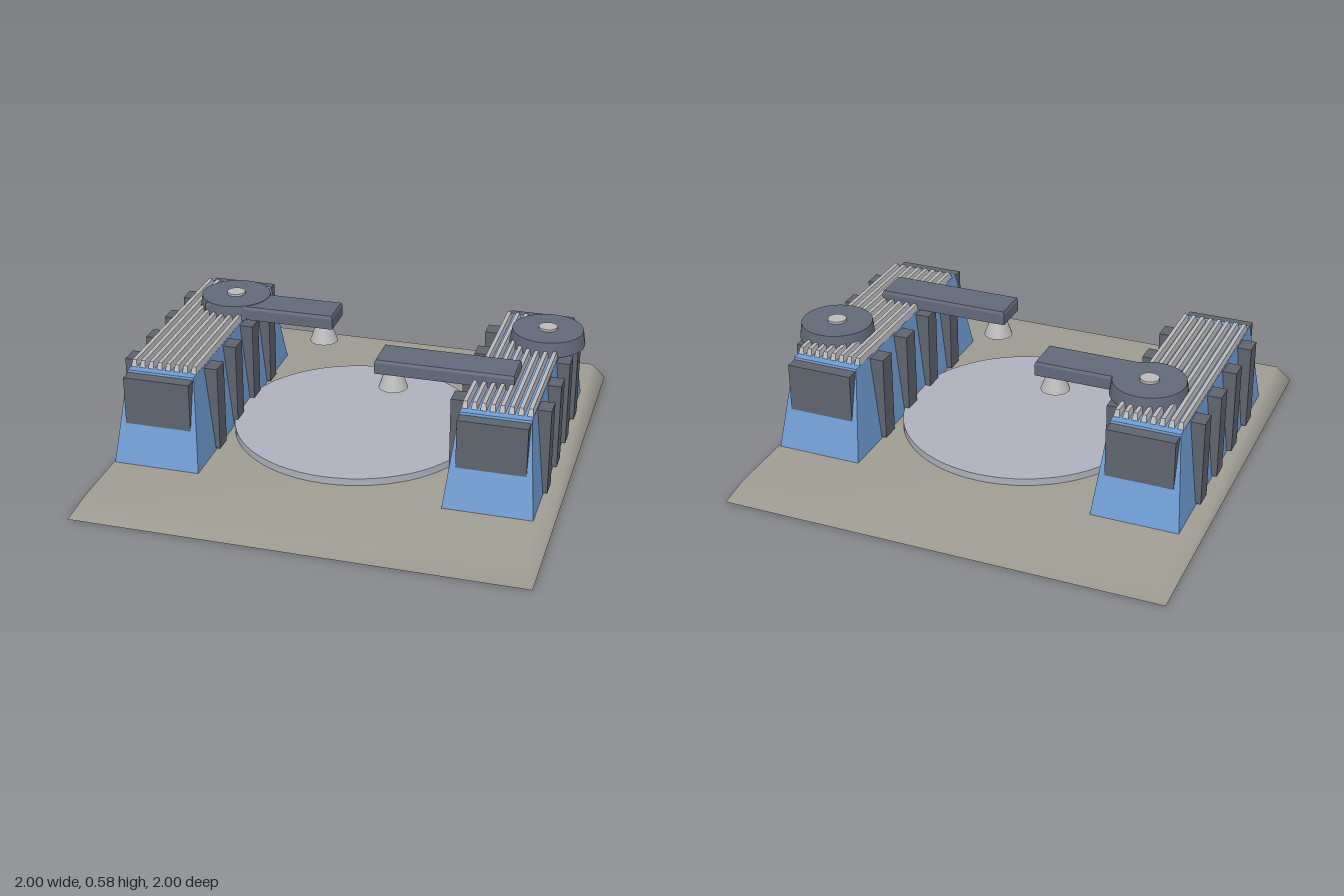
import * as THREE from 'three';
import { mergeVertices } from 'three/addons/utils/BufferGeometryUtils.js';

const mat = (name, color) => Object.assign(new THREE.MeshStandardMaterial({ color }), { name });

// Box standing on y0 whose top face is tapered to topW x topD
function frustum(w, d, topW, topD, y0, y1) {
  const g = new THREE.BoxGeometry(w, y1 - y0, d);
  g.translate(0, (y0 + y1) / 2, 0);
  const p = g.attributes.position;
  const mid = (y0 + y1) / 2;
  for (let i = 0; i < p.count; i++) {
    if (p.getY(i) > mid) {
      p.setX(i, Math.sign(p.getX(i)) * topW / 2);
      p.setZ(i, Math.sign(p.getZ(i)) * topD / 2);
    }
  }
  g.computeVertexNormals();
  return g;
}

// Round part between two heights
function round(rTop, rBottom, y0, y1, sides = 32) {
  return new THREE.CylinderGeometry(rTop, rBottom, y1 - y0, sides).translate(0, (y0 + y1) / 2, 0);
}

export function createModel() {
  const stone = mat('stone', 0x9f9d92);
  const pad = mat('padGrey', 0xaeb1bc);
  const blue = mat('blue', 0x6f9dd3);
  const dark = mat('darkGrey', 0x5f646d);
  const steel = mat('steel', 0x626978);
  const light = mat('lightGrey', 0xb9bab9);

  const root = new THREE.Group();
  root.name = 'platform';
  const add = (parent, name, geometry, material, x = 0, z = 0) => {
    const m = new THREE.Mesh(geometry, material);
    m.name = name;
    m.position.set(x, 0, z);
    parent.add(m);
    return m;
  };

  // Foundation: softly shaded top and slopes, flat underside
  let slab = frustum(2, 2, 1.88, 1.88, 0, 0.092);
  const kept = Array.from(slab.index.array).filter((_, i) => i < 18 || i >= 24);
  slab.setIndex(kept);
  slab.clearGroups();
  slab.deleteAttribute('uv');
  slab.deleteAttribute('normal');
  slab = mergeVertices(slab);
  slab.computeVertexNormals();
  add(root, 'foundation', slab, stone);
  add(root, 'foundationUnderside', new THREE.PlaneGeometry(2, 2).rotateX(Math.PI / 2), stone);

  // Central round pad
  add(root, 'pad', round(0.563, 0.563, 0.08, 0.125, 64), pad);

  // Two sloped side blocks with ribs, end panels and roof slats
  for (const side of [-1, 1]) {
    const block = new THREE.Group();
    block.name = side < 0 ? 'rightBlock' : 'leftBlock';
    block.position.x = side < 0 ? -0.739 : 0.736;
    root.add(block);
    add(block, 'blockBody', frustum(0.39, 1.26, 0.305, 1.05, 0.09, 0.5), blue);
    for (const z of [-0.352, -0.113, 0.118, 0.358]) {
      add(block, 'rib', new THREE.BoxGeometry(0.43, 0.39, 0.086).translate(0, 0.295, 0), dark, -0.002, z);
    }
    add(block, 'endPanels', new THREE.BoxGeometry(0.3, 0.22, 1.17).translate(0, 0.38, 0), dark);
    for (let i = 0; i < 8; i++) {
      add(block, 'roofSlat', frustum(0.028, 0.98, 0.017, 0.955, 0.495, 0.53), light, (i - 3.5) * 0.0395);
    }
  }

  // Turntables, arms and nozzles
  const units = [
    { name: 'rightCrane', turn: [-0.665, -0.253], arm: [-0.463, -0.2], tip: -0.22 },
    { name: 'leftCrane', turn: [0.815, -0.253], arm: [0.458, 0.19], tip: 0.215 },
  ];
  for (const u of units) {
    const crane = new THREE.Group();
    crane.name = u.name;
    root.add(crane);
    add(crane, 'turntable', round(0.16, 0.17, 0.502, 0.569), steel, ...u.turn);
    add(crane, 'turntableCap', round(0.042, 0.042, 0.55, 0.58, 20), light, ...u.turn);
    add(crane, 'arm', frustum(0.615, 0.172, 0.605, 0.162, 0.553, 0.567), steel, ...u.arm);
    add(crane, 'armBase', new THREE.BoxGeometry(0.615, 0.05, 0.172).translate(0, 0.528, 0), steel, ...u.arm);
    add(crane, 'nozzle', round(0.03, 0.065, 0.408, 0.505, 20), light, u.tip, u.arm[1]);
  }
  return root;
}
